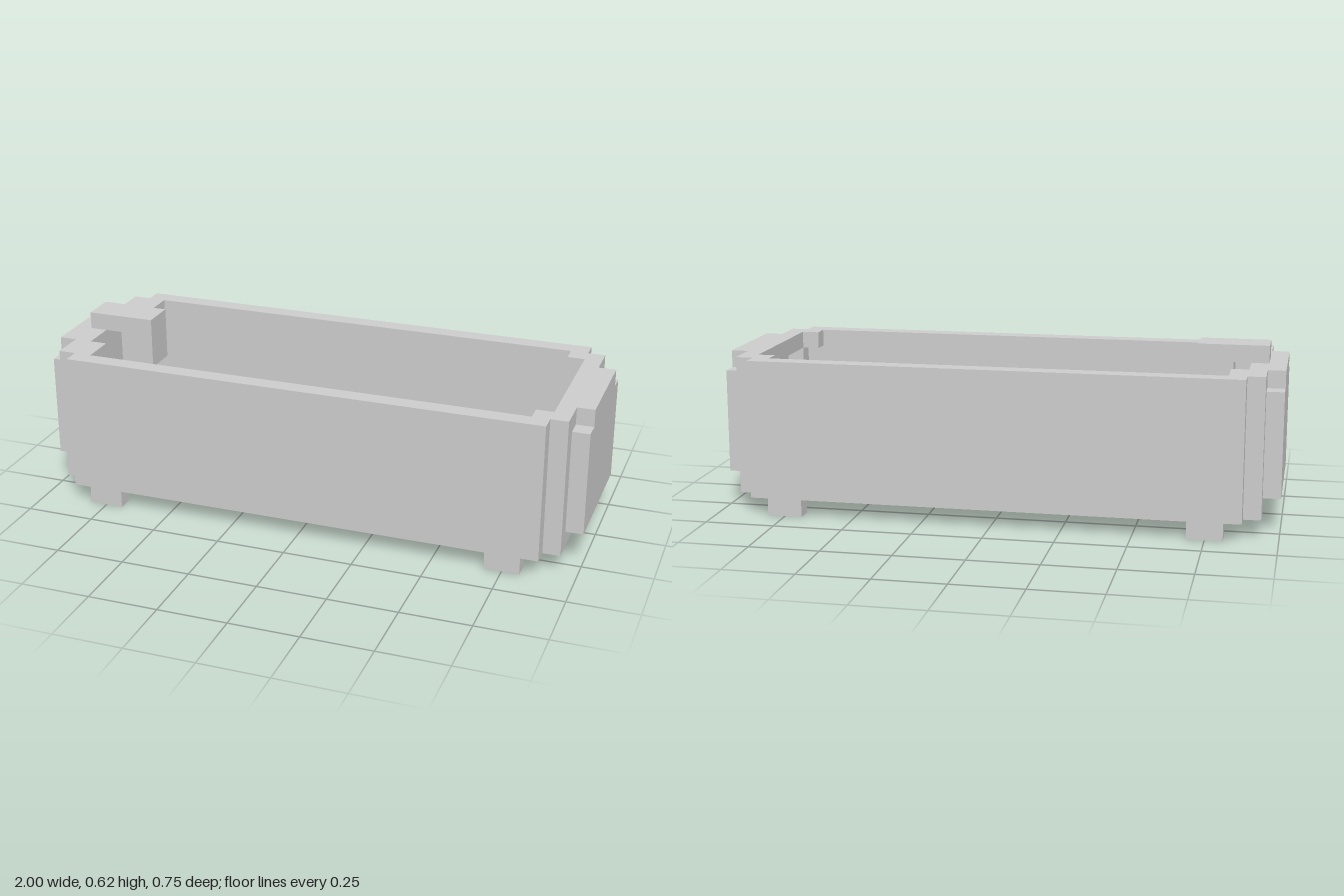
import * as THREE from 'three';

const material = new THREE.MeshStandardMaterial({ color: 0xcccccc, flatShading: true });

// Full loop from the corner steps of the +x and -x ends, each listed for +x, +z
function outline(right, left = right) {
  return [
    ...right,
    ...[...left].reverse().map(([x, z]) => [-x, z]),
    ...left.map(([x, z]) => [-x, -z]),
    ...[...right].reverse().map(([x, z]) => [x, -z]),
  ].map(([x, z]) => new THREE.Vector2(x, z));
}

export function createModel() {
  const model = new THREE.Group();
  model.name = 'bathtub';
  // Dimensions below are in block units, 16 to one model unit
  const blocks = new THREE.Group();
  blocks.name = 'tubParts';
  blocks.scale.setScalar(1 / 16);
  model.add(blocks);

  const add = (name, geometry) => {
    const mesh = new THREE.Mesh(geometry, material);
    mesh.name = name;
    blocks.add(mesh);
    return mesh;
  };
  const box = (name, x0, x1, y0, y1, z0, z1) =>
    add(name, new THREE.BoxGeometry(x1 - x0, y1 - y0, z1 - z0))
      .position.set((x0 + x1) / 2, (y0 + y1) / 2, (z0 + z1) / 2);
  // Horizontal slab one unit thick with its top at y
  const slab = (name, y, points, hole) => {
    const shape = new THREE.Shape(points);
    if (hole) shape.holes.push(new THREE.Path(hole));
    const geometry = new THREE.ExtrudeGeometry(shape, { depth: 1, bevelEnabled: false });
    add(name, geometry.rotateX(Math.PI / 2).translate(0, y, 0));
  };

  // Floor and rim
  slab('floor', 2, outline([[15, 5], [14, 5], [14, 6]]));
  slab('rim', 9,
    outline([[16, 3], [15, 3], [15, 5], [14, 5], [14, 6]]),
    outline([[14, 4], [13, 4], [13, 5]], [[14, 3], [13, 3], [13, 5]]));

  // Walls, corner posts and feet
  for (const s of [-1, 1]) {
    const sideZ = s > 0 ? [5, 6] : [-6, -5];
    const postZ = s > 0 ? [4, 5] : [-5, -4];
    box(s > 0 ? 'frontWall' : 'backWall', -14, 14, 2, 8, ...sideZ);
    box(s > 0 ? 'leftEndWall' : 'rightEndWall', ...(s > 0 ? [15, 16] : [-16, -15]), 2, 8, -4, 4);
    for (const e of [-1, 1]) {
      box('cornerPost', ...(e > 0 ? [14, 15] : [-15, -14]), 2, 8, ...postZ);
      box('foot', ...(e > 0 ? [11, 13] : [-13, -11]), 0, 1, ...sideZ);
    }
  }

  // Tap with a downward spout
  const profile = [[-15, 9], [-13, 9], [-13, 7], [-11, 7], [-11, 10], [-15, 10]];
  const tap = new THREE.Shape(profile.map(([x, y]) => new THREE.Vector2(x, y)));
  add('tap', new THREE.ExtrudeGeometry(tap, { depth: 2, bevelEnabled: false }).translate(0, 0, -1));

  return model;
}
